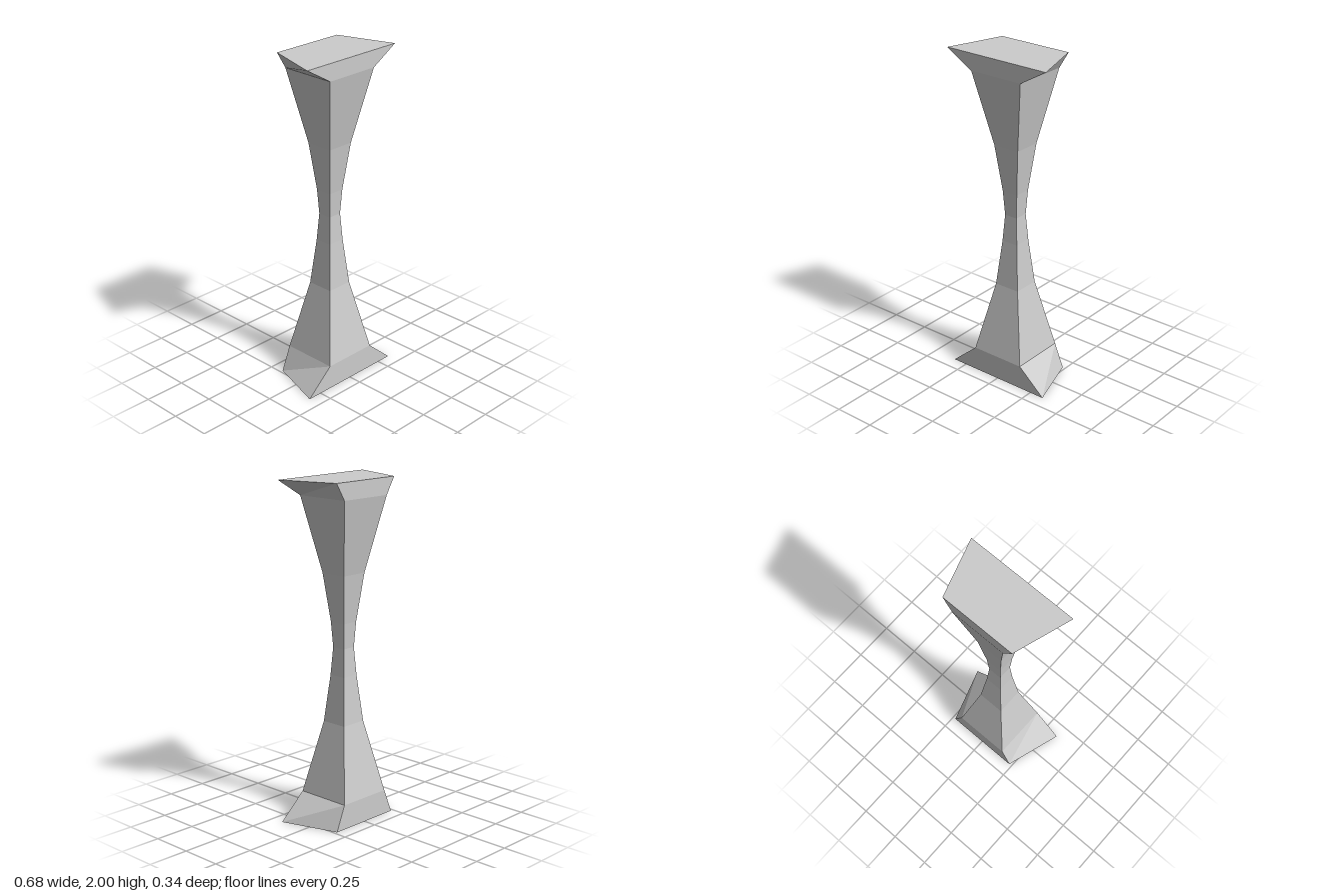
import * as THREE from 'three';

const material = new THREE.MeshStandardMaterial({ color: 0xcccccc, flatShading: true });

// Four-sided loft; each section is [y, front half-width, back half-width, half-depth]
function loft(name, sections, { capBottom = false, capTop = false } = {}) {
  const positions = [];
  const index = [];
  for (const [y, front, back, depth] of sections) {
    positions.push(-front, y, depth, front, y, depth, back, y, -depth, -back, y, -depth);
  }
  for (let s = 0; s < sections.length - 1; s++) {
    for (let i = 0; i < 4; i++) {
      const a = s * 4 + i;
      const b = s * 4 + (i + 1) % 4;
      index.push(a, b, b + 4, a, b + 4, a + 4);
    }
  }
  if (capBottom) index.push(0, 2, 1, 0, 3, 2);
  if (capTop) {
    const t = (sections.length - 1) * 4;
    index.push(t, t + 1, t + 2, t, t + 2, t + 3);
  }
  const indexed = new THREE.BufferGeometry();
  indexed.setAttribute('position', new THREE.Float32BufferAttribute(positions, 3));
  indexed.setIndex(index);
  const geometry = indexed.toNonIndexed();
  geometry.computeVertexNormals();
  const mesh = new THREE.Mesh(geometry, material);
  mesh.name = name;
  return mesh;
}

export function createModel() {
  const group = new THREE.Group();
  group.name = 'waistedColumn';

  const square = (y, r) => [y, r, r, r];
  const flare = (y) => [y, 0.341, 0.232, 0.171];
  const baseTop = square(0.148, 0.171);
  const capitalBottom = square(1.9, 0.171);

  // Flared foot, wider at the front
  group.add(loft('base', [flare(0), baseTop], { capBottom: true }));

  // Square shaft narrowing to a waist
  group.add(loft('shaft', [
    baseTop,
    square(0.58, 0.081),
    square(0.86, 0.053),
    square(1.025, 0.042),
    square(1.175, 0.051),
    square(1.46, 0.084),
    capitalBottom,
  ]));

  // Flared head, wider at the front
  group.add(loft('capital', [capitalBottom, flare(2)], { capTop: true }));

  return group;
}
